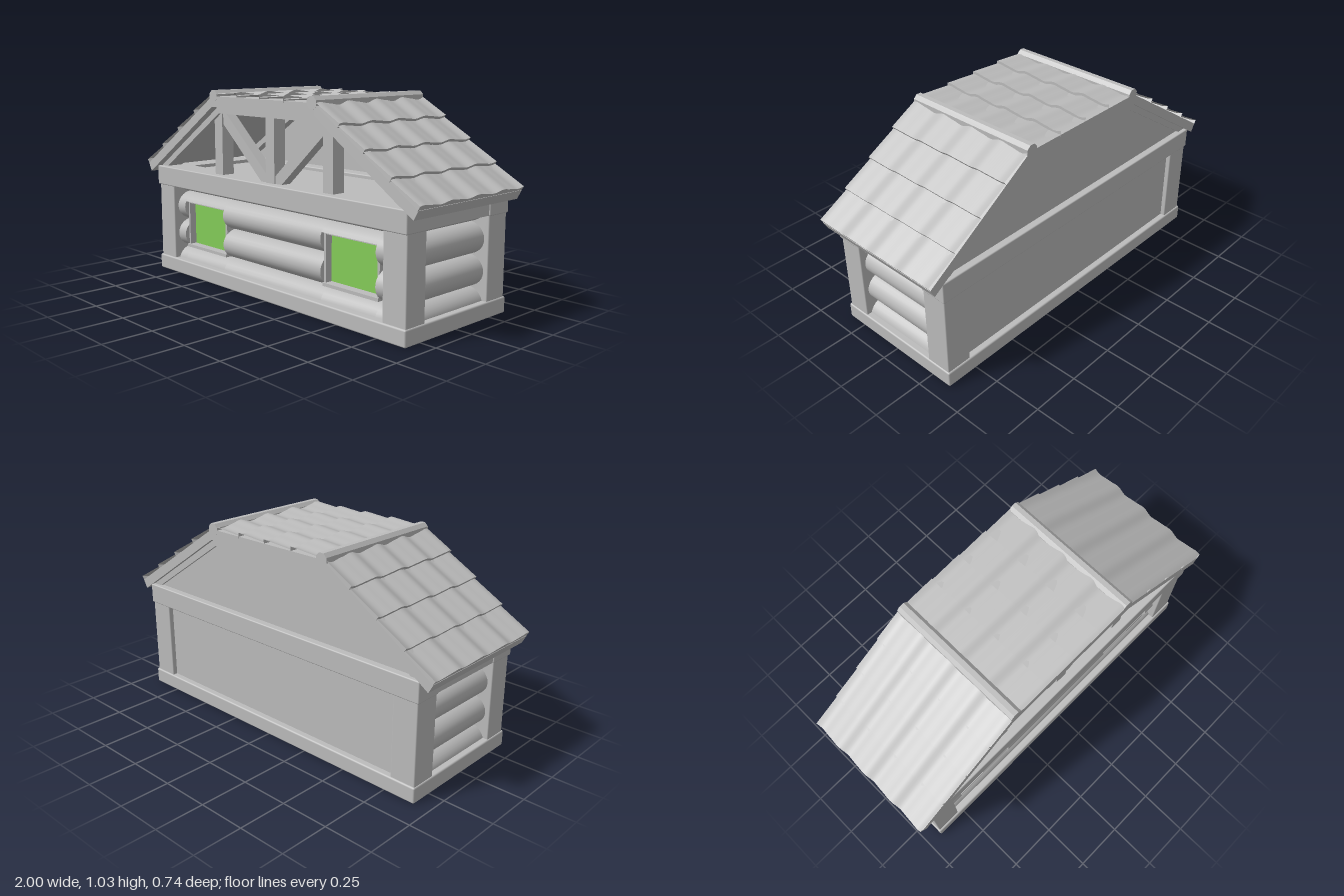
import * as THREE from 'three';
import { mergeGeometries, toCreasedNormals } from 'three/addons/utils/BufferGeometryUtils.js';
import { RoundedBoxGeometry } from 'three/addons/geometries/RoundedBoxGeometry.js';

const grey = new THREE.MeshStandardMaterial({ color: 0xbcbcbc, side: THREE.DoubleSide });
grey.name = 'plain grey';
const green = new THREE.MeshStandardMaterial({ color: 0x84cc58, side: THREE.DoubleSide });
green.name = 'window green';

export function createModel() {
  const model = new THREE.Group();
  model.name = 'cabin';

  const add = (name, geo, mat = grey) => {
    const mesh = new THREE.Mesh(geo, mat);
    mesh.name = name;
    model.add(mesh);
    return mesh;
  };
  // Box given by its limits, optionally with softened edges
  const box = (name, x0, x1, y0, y1, z0, z1, round = 0, mat = grey) => {
    const s = [x1 - x0, y1 - y0, z1 - z0];
    const geo = round ? new RoundedBoxGeometry(...s, 2, round) : new THREE.BoxGeometry(...s);
    return add(name, geo.translate((x0 + x1) / 2, (y0 + y1) / 2, (z0 + z1) / 2), mat);
  };
  const shapeOf = pts => new THREE.Shape(pts.map(p => new THREE.Vector2(...p)));
  const extrude = (shape, z0, z1) =>
    new THREE.ExtrudeGeometry(shape, { depth: z1 - z0, bevelEnabled: false }).translate(0, 0, z0);
  // Closed outline from its right half, listed from the eave up
  const gable = half => half.concat([...half].reverse().map(([x, y]) => [-x, y]));

  // Base frame with a slightly recessed floor
  box('baseFront', -0.92, 0.92, 0, 0.08, 0.3, 0.355, 0.008);
  box('baseBack', -0.92, 0.92, 0, 0.08, -0.368, -0.31, 0.008);
  for (const s of [-1, 1]) box('baseSide', s * 0.885 - 0.035, s * 0.885 + 0.035, 0, 0.08, -0.368, 0.355, 0.008);
  box('floor', -0.88, 0.88, 0.015, 0.075, -0.34, 0.33);

  // Corner posts, beams, back wall and ceiling
  for (const s of [-1, 1]) {
    const [a, b] = s > 0 ? [0.78, 0.914] : [-0.914, -0.78];
    box('frontPost', a, b, 0.07, 0.495, 0.22, 0.346, 0.006);
    box('backPost', a, b, 0.07, 0.495, -0.36, -0.225, 0.006);
    box('sideBeam', a, b, 0.488, 0.588, -0.25, 0.25);
  }
  box('frontBeam', -0.92, 0.92, 0.485, 0.59, 0.21, 0.357, 0.006);
  box('backBeam', -0.92, 0.92, 0.485, 0.59, -0.366, -0.222, 0.006);
  box('backWall', -0.8, 0.8, 0.07, 0.49, -0.335, -0.3);
  box('ceiling', -0.8, 0.8, 0.5, 0.57, -0.25, 0.25);

  // Log walls: a bulging profile, cut to a height range
  const logProfile = (base, bulge, y0, y1) => {
    const pts = [];
    const pitch = 0.155;
    const depth = y => {
      const t = ((y - 0.14 + pitch) % pitch) / pitch * 2 - 1;
      return base + bulge * Math.sqrt(Math.max(0, 1 - t * t));
    };
    pts.push([base - 0.05, y0], [depth(y0), y0]);
    for (const c of [0.0625, 0.2175, 0.3725, 0.5275]) {
      for (let i = 0; i < 14; i++) {
        const a = Math.PI * i / 14;
        const y = c - pitch / 2 * Math.cos(a);
        if (y > y0 + 0.001 && y < y1 - 0.001) pts.push([base + bulge * Math.sin(a), y]);
      }
    }
    pts.push([depth(y1), y1], [base - 0.05, y1]);
    return shapeOf(pts);
  };
  const frontLogs = (x0, x1, y0, y1) => add('frontLogs', toCreasedNormals(
    extrude(logProfile(0.23, 0.09, y0, y1), -x1, -x0), 0.6).rotateY(-Math.PI / 2));
  frontLogs(-0.37, 0.37, 0.075, 0.49);
  for (const s of [-1, 1]) {
    const span = (a, b) => (s > 0 ? [a, b] : [-b, -a]);
    frontLogs(...span(0.715, 0.79), 0.075, 0.49);
    frontLogs(...span(0.37, 0.715), 0.075, 0.15);
    frontLogs(...span(0.37, 0.715), 0.405, 0.49);
    const side = toCreasedNormals(extrude(logProfile(0.8, 0.09, 0.075, 0.49), -0.23, 0.23), 0.6);
    add('sideLogs', side).rotation.y = s > 0 ? 0 : Math.PI;

    // Window pane and frame set into the logs
    const [a, b] = span(0.368, 0.718);
    box('windowPane', a, b, 0.15, 0.405, 0.252, 0.258, 0, green);
    box('windowFrameLeft', a, a + 0.014, 0.148, 0.407, 0.22, 0.295);
    box('windowFrameRight', b - 0.014, b, 0.148, 0.407, 0.22, 0.295);
    box('windowFrameBottom', a, b, 0.148, 0.164, 0.22, 0.305);
    box('windowFrameTop', a, b, 0.395, 0.407, 0.22, 0.295);
  }

  // Back gable panel and the roof chords at front and back
  const under = [[0.92, 0.585], [0.38, 0.947]];
  add('gablePanel', extrude(shapeOf(gable(under)), -0.33, -0.3));
  const chord = shapeOf(gable(under));
  chord.holes.push(new THREE.Path(gable([[0.865, 0.586], [0.375, 0.91]]).map(p => new THREE.Vector2(...p))));
  add('frontChord', extrude(chord, 0.235, 0.33));
  add('backChord', extrude(chord, -0.345, -0.25));

  // Truss posts and diagonals
  for (const x of [-0.4, 0.01, 0.415]) box('trussPost', x - 0.032, x + 0.032, 0.58, 0.92, 0.245, 0.315);
  const brace = (name, x0, y0, x1, y1) => {
    const geo = new THREE.BoxGeometry(Math.hypot(x1 - x0, y1 - y0), 0.058, 0.055);
    const mesh = add(name, geo);
    mesh.position.set((x0 + x1) / 2, (y0 + y1) / 2, 0.28);
    mesh.rotation.z = Math.atan2(y1 - y0, x1 - x0);
  };
  brace('leftBrace', -0.375, 0.9, 0.0, 0.57);
  brace('rightBrace', 0.39, 0.9, 0.02, 0.57);

  // Roof slab, open underneath
  const slab = gable([[0.965, 0.555], [0.988, 0.598], [0.375, 1.0]]);
  const inner = [[-0.38, 0.945], [0.38, 0.945]];
  add('roofSlab', extrude(shapeOf([...slab, ...inner]), -0.365, 0.37));

  // Rows of wavy tiles, each overlapping the next row down
  const wave = z => {
    const t = (0.335 - z) / 0.185 * Math.PI * 2;
    return 0.0065 * (Math.cos(t) - 0.3 * Math.sin(2 * t));
  };
  const tiles = (name, low, high, flip) => {
    const dir = new THREE.Vector2(high[0] - low[0], high[1] - low[1]);
    const n = new THREE.Vector2(dir.y, -dir.x).normalize();
    if (n.y < 0) n.negate();
    const N = 64, rows = 4, parts = [];
    const strip = (u0, h0, u1, h1) => {
      const pos = [], idx = [];
      for (let i = 0; i <= N; i++) {
        const z = -0.366 + 0.737 * i / N;
        for (const [u, h] of [[u0, h0], [u1, h1]]) {
          const k = h + (h > 0 ? wave(z) : 0);
          pos.push(low[0] + dir.x * u + n.x * k, low[1] + dir.y * u + n.y * k, z);
        }
        if (i < N) {
          const a = i * 2;
          idx.push(...(flip ? [a, a + 2, a + 1, a + 1, a + 2, a + 3] : [a, a + 1, a + 2, a + 1, a + 3, a + 2]));
        }
      }
      const g = new THREE.BufferGeometry();
      g.setAttribute('position', new THREE.Float32BufferAttribute(pos, 3));
      g.setIndex(idx);
      g.computeVertexNormals();
      parts.push(g);
    };
    for (let r = 0; r < rows; r++) {
      strip(r / rows, -0.004, r / rows, 0.022);
      strip(r / rows, 0.022, (r + 1) / rows, 0.008);
    }
    add(name, mergeGeometries(parts));
  };
  tiles('rightSlopeTiles', [0.985, 0.597], [0.375, 0.998], false);
  tiles('leftSlopeTiles', [-0.985, 0.597], [-0.375, 0.998], true);
  tiles('topTiles', [0.35, 0.994], [-0.35, 0.998], false);

  // Ridge caps where the slopes meet the flat top
  for (const s of [-1, 1]) {
    const cap = new THREE.CylinderGeometry(0.033, 0.033, 0.737, 8).rotateY(Math.PI / 8).rotateX(Math.PI / 2);
    add('ridgeCap', toCreasedNormals(cap, 0.3)).position.set(s * 0.365, 1.0, 0.0025);
  }
  return model;
}
